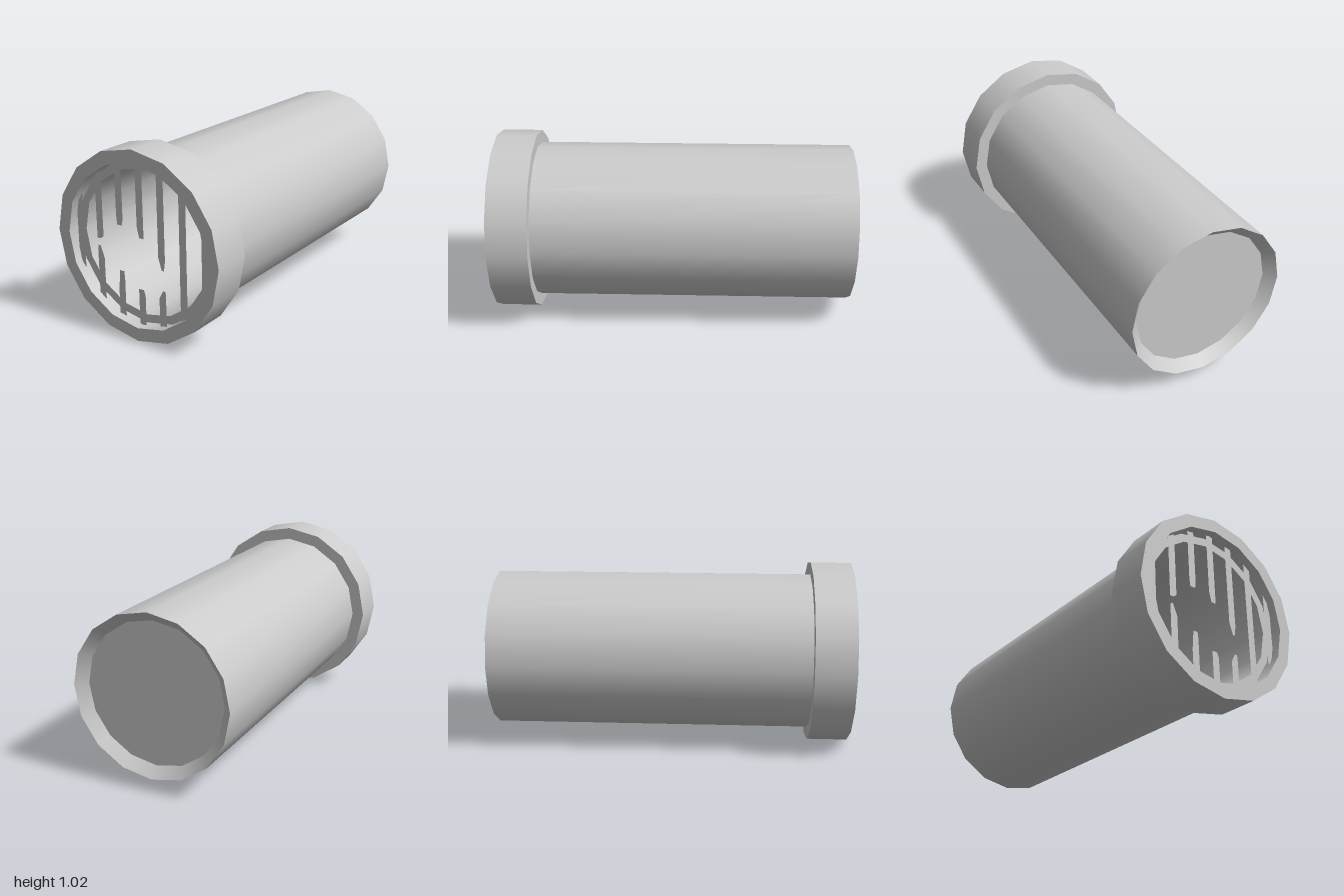
import * as THREE from 'three';

const CENTRE_Y = 0.512;
const SIDES = 16;
const BAR_HALF = 0.021;
const material = new THREE.MeshStandardMaterial({ color: 0xcccccc, side: THREE.DoubleSide });

// One band of revolution about the pipe's axis, from [radius, z] to [radius, z].
// Separate bands keep the rims sharp while the walls stay smooth.
function band(name, from, to) {
  const points = [from, to].map(([r, z]) => new THREE.Vector2(r, z));
  const geometry = new THREE.LatheGeometry(points, SIDES).rotateX(Math.PI / 2);
  const mesh = new THREE.Mesh(geometry, material);
  mesh.name = name;
  return mesh;
}

// Thin flat bar cut from an outline of [x, y] corners
function bar(name, corners) {
  const shape = new THREE.Shape(corners.map(([x, y]) => new THREE.Vector2(x, y)));
  const mesh = new THREE.Mesh(new THREE.ShapeGeometry(shape), material);
  mesh.name = name;
  mesh.position.z = 0.953;
  return mesh;
}

// Height where a bar is buried in the collar; side is 1 for top, -1 for bottom
const wallY = (x, side) => CENTRE_Y + side * Math.sqrt(0.445 ** 2 - x * x);

// Bar stub rooted in the collar, ending in a jagged tip listed left to right
function brokenBar(name, x, side, tip) {
  const left = x - BAR_HALF, right = x + BAR_HALF;
  return bar(name, [
    [left, wallY(left, side)],
    ...tip.map(([dx, y]) => [x + dx, y]),
    [right, wallY(right, side)],
  ]);
}

export function createModel() {
  const model = new THREE.Group();
  model.name = 'drainPipe';

  // Pipe with a stepped collar at the front and a recessed back plate
  const pipe = new THREE.Group();
  pipe.name = 'pipe';
  pipe.position.y = CENTRE_Y;
  pipe.add(
    band('outerWall', [0.443, -1], [0.443, 0.775]),
    band('collarBack', [0.443, 0.775], [0.512, 0.775]),
    band('collarOuter', [0.512, 0.775], [0.512, 1]),
    band('collarFront', [0.512, 1], [0.44, 1]),
    band('collarInner', [0.44, 1], [0.44, 0.92]),
    band('step', [0.44, 0.92], [0.394, 0.92]),
    band('innerWall', [0.394, 0.92], [0.388, -0.945]),
    band('backPlate', [0, -0.945], [0.388, -0.945]),
    band('backFlare', [0.388, -0.945], [0.443, -1]),
  );
  model.add(pipe);

  // Intact grate bars
  const grate = new THREE.Group();
  grate.name = 'grate';
  for (const x of [-0.4, 0.266, 0.4]) {
    const left = x - BAR_HALF, right = x + BAR_HALF;
    grate.add(bar('bar', [
      [left, wallY(left, -1)], [right, wallY(right, -1)],
      [right, wallY(right, 1)], [left, wallY(left, 1)],
    ]));
  }

  // Broken grate bars: tips as [offset from bar centre, y]
  const h = BAR_HALF;
  const broken = [
    { x: -0.267, upper: [[-h, 0.495], [0, 0.495], [h, 0.51]],
      lower: [[-h, 0.435], [-0.018, 0.455], [-0.003, 0.455], [h, 0.39]] },
    { x: -0.133, upper: [[-h, 0.65], [-0.017, 0.595], [0.016, 0.595], [h, 0.64]],
      lower: [[-h, 0.24], [-0.01, 0.345], [0.017, 0.345], [h, 0.31]] },
    { x: 0, upper: [[-h, 0.61], [-0.008, 0.55], [h, 0.55]],
      lower: [[-h, 0.27], [0.011, 0.27], [h, 0.24]] },
    { x: 0.132, upper: [[-h, 0.47], [-0.001, 0.405], [0.013, 0.405], [h, 0.46]],
      lower: [[-h, 0.25], [0.003, 0.295], [0.017, 0.295], [h, 0.28]] },
  ];
  for (const { x, upper, lower } of broken) {
    grate.add(brokenBar('brokenBarUpper', x, 1, upper), brokenBar('brokenBarLower', x, -1, lower));
  }
  model.add(grate);

  return model;
}
